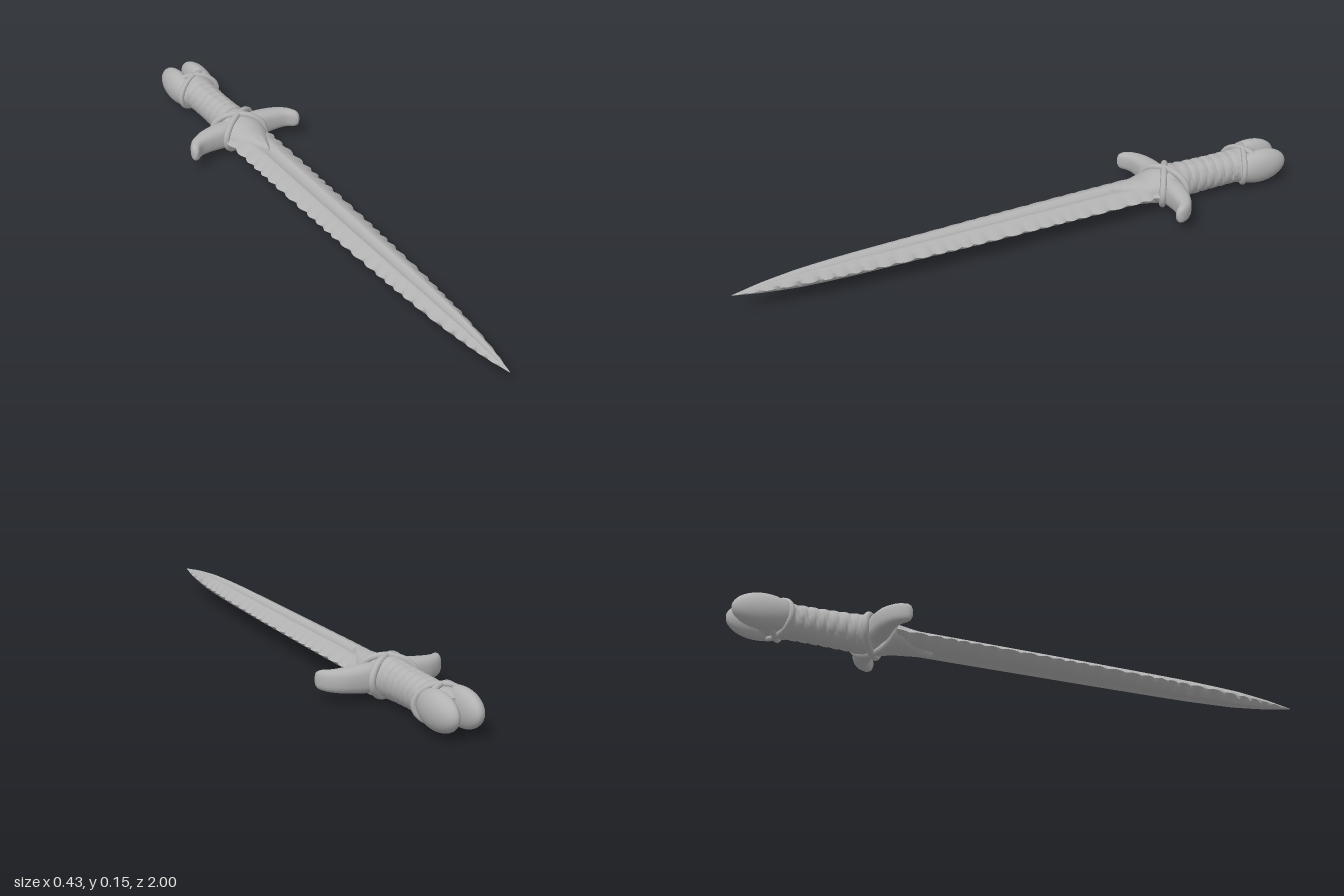
import * as THREE from 'three';
import { toCreasedNormals } from 'three/addons/utils/BufferGeometryUtils.js';

const steel = new THREE.MeshStandardMaterial({ color: 0xb2b2b2 });
steel.name = 'grey metal';

// Linear lookup in a short table of [position, value, value...] rows.
function sample(table, t, k = 1) {
  let i = 0;
  while (i < table.length - 2 && t > table[i + 1][0]) i++;
  const a = table[i], b = table[i + 1];
  const f = THREE.MathUtils.clamp((t - a[0]) / (b[0] - a[0]), 0, 1);
  return a[k] + (b[k] - a[k]) * f;
}

// Skin a list of closed rings (counter-clockwise about the direction of travel), capping both ends.
function loft(rings) {
  const n = rings[0].length, pos = rings.flat(2), index = [];
  for (let i = 0; i < rings.length - 1; i++) {
    for (let j = 0; j < n; j++) {
      const a = i * n + j, b = i * n + (j + 1) % n;
      index.push(a, b, b + n, a, b + n, a + n);
    }
  }
  [0, rings.length - 1].forEach((r) => {
    const c = pos.length / 3;
    for (let k = 0; k < 3; k++) pos.push(rings[r].reduce((s, p) => s + p[k], 0) / n);
    for (let j = 0; j < n; j++) {
      const a = r * n + j, b = r * n + (j + 1) % n;
      if (r === 0) index.push(c, b, a); else index.push(c, a, b);
    }
  });
  const geo = new THREE.BufferGeometry();
  geo.setAttribute('position', new THREE.Float32BufferAttribute(pos, 3));
  geo.setIndex(index);
  geo.computeVertexNormals();
  return geo;
}

// Round body along z from rows of [z, half width, half height], with an optional surface ripple.
function roundBody(table, steps, sides, ripple = () => 0) {
  const z0 = table[0][0], z1 = table[table.length - 1][0], rings = [];
  for (let i = 0; i <= steps; i++) {
    const z = z0 + (z1 - z0) * i / steps, ring = [];
    for (let j = 0; j < sides; j++) {
      const a = j / sides * Math.PI * 2, d = ripple(z, a);
      ring.push([(sample(table, z, 1) + d) * Math.cos(a), (sample(table, z, 2) + d) * Math.sin(a), z]);
    }
    rings.push(ring);
  }
  return toCreasedNormals(loft(rings), 0.8);
}

// Blade: fullered lens section with a scalloped edge.
function bladeGeometry() {
  const width = [[-0.5, 0.083], [-0.2, 0.081], [0.2, 0.074], [0.5, 0.063], [0.7, 0.05], [0.85, 0.032], [0.93, 0.018], [1, 0.001]];
  const thick = [[-0.5, 0.029], [0.6, 0.028], [0.78, 0.024], [0.9, 0.014], [1, 0.001]];
  const half = [[1, 0], [0.8, 0.42], [0.45, 0.95], [0.3, 1], [0.16, 0.84], [0, 0.8]];
  const upper = [...half, ...half.slice(1, -1).reverse().map(([x, y]) => [-x, y])];
  const section = [...upper, ...upper.map(([x, y]) => [-x, -y])];
  const rings = [];
  for (let i = 0; i <= 180; i++) {
    const z = -0.5 + 1.5 * i / 180, w = sample(width, z), t = sample(thick, z);
    rings.push(section.map(([x, y]) => {
      const edge = Math.max(0, (Math.abs(x) - 0.7) / 0.3);
      const phase = z * 58 + (x > 0 ? 1.1 : 0) + 0.8 * Math.sin(z * 17 + x * 2);
      const bite = 0.011 * edge * (1 - Math.abs(Math.sin(phase))) * Math.min(1, w / 0.04);
      return [x * w - Math.sign(x) * bite, y * t, z];
    }));
  }
  return toCreasedNormals(loft(rings), 0.5);
}

// Curved guard horn reaching out along +x and bending towards the tip.
function hornGeometry() {
  const path = new THREE.CatmullRomCurve3([
    [0, -0.53], [0.08, -0.532], [0.14, -0.526], [0.18, -0.51], [0.2, -0.487], [0.206, -0.468],
  ].map(([x, z]) => new THREE.Vector3(x, 0, z)));
  const size = [[0, 0.045, 0.038], [0.35, 0.045, 0.036], [0.6, 0.039, 0.031], [0.8, 0.034, 0.023],
    [0.93, 0.03, 0.016], [0.98, 0.023, 0.011], [1, 0.01, 0.004]];
  const rings = [];
  for (let i = 0; i <= 40; i++) {
    const u = i / 40, c = path.getPointAt(u), t = path.getTangentAt(u), ring = [];
    for (let j = 0; j < 20; j++) {
      const a = j / 20 * Math.PI * 2, co = Math.cos(a), si = Math.sin(a);
      // squarish oval
      const y = Math.sign(co) * Math.abs(co) ** 0.75 * sample(size, u, 1);
      const s = Math.sign(si) * Math.abs(si) ** 0.75 * sample(size, u, 2);
      ring.push([c.x - t.z * s, y, c.z + t.x * s]);
    }
    rings.push(ring);
  }
  return loft(rings);
}

// Slanted cord loop; two of opposite slant cross above and below.
function cordGeometry(z, slant, rx, ry, radius) {
  const points = [];
  for (let i = 0; i < 24; i++) {
    const a = i / 24 * Math.PI * 2;
    points.push(new THREE.Vector3(rx * Math.cos(a), ry * Math.sin(a), z + slant * Math.cos(a)));
  }
  return new THREE.TubeGeometry(new THREE.CatmullRomCurve3(points, true), 72, radius, 10, true);
}

// Pommel lobe: egg flattened on the side facing its twin.
function lobeGeometry() {
  const geo = new THREE.SphereGeometry(1, 32, 24), p = geo.attributes.position;
  for (let i = 0; i < p.count; i++) {
    const x = p.getX(i);
    p.setXYZ(i, 0.038 + x * (x > 0 ? 0.045 : 0.034), p.getY(i) * 0.061, -0.898 + p.getZ(i) * 0.102);
  }
  geo.computeVertexNormals();
  return geo;
}

export function createModel() {
  const model = new THREE.Group();
  model.name = 'dagger';
  const body = new THREE.Group();
  body.name = 'daggerBody';
  body.position.y = 0.073;
  model.add(body);
  const add = (name, geo) => {
    const mesh = new THREE.Mesh(geo, steel);
    mesh.name = name;
    body.add(mesh);
    return mesh;
  };
  // Half turn about the long axis gives the opposite side.
  const addPair = (name, geo) => {
    add(name + 'Left', geo);
    add(name + 'Right', geo).rotation.z = Math.PI;
  };

  add('blade', bladeGeometry());

  // Pointed collar over the blade root
  add('collar', roundBody([[-0.61, 0.056, 0.06], [-0.56, 0.066, 0.064], [-0.5, 0.074, 0.056], [-0.46, 0.068, 0.045],
    [-0.42, 0.052, 0.044], [-0.38, 0.034, 0.043], [-0.345, 0.014, 0.04], [-0.33, 0.003, 0.032]], 40, 28));

  // Grip with overlapping slanted wraps
  add('grip', roundBody([[-0.84, 0.066, 0.058], [-0.8, 0.056, 0.056], [-0.7, 0.053, 0.058], [-0.62, 0.054, 0.061], [-0.57, 0.06, 0.064]],
    110, 36, (z, a) => {
      const turn = z / 0.034 + a / (Math.PI * 2) + 0.12 * Math.sin(2 * a);
      const f = turn - Math.floor(turn);
      return 0.005 * Math.sqrt(Math.sin(f * Math.PI)) * (0.6 + 0.4 * f) - 0.002;
    }));

  // Pommel
  add('pommelCore', roundBody([[-0.91, 0.04, 0.035], [-0.88, 0.066, 0.054], [-0.84, 0.07, 0.058], [-0.8, 0.057, 0.056]], 16, 28));
  addPair('pommelLobe', lobeGeometry());

  // Guard
  addPair('guardHorn', hornGeometry());

  // Crossed bindings
  for (const side of [-1, 1]) {
    const name = side > 0 ? 'A' : 'B';
    add('guardCord' + name, cordGeometry(-0.535, side * 0.047, 0.077, 0.0615, 0.0115));
    add('pommelCord' + name, cordGeometry(-0.85, side * 0.033, 0.073, 0.06, 0.0095));
  }
  return model;
}
